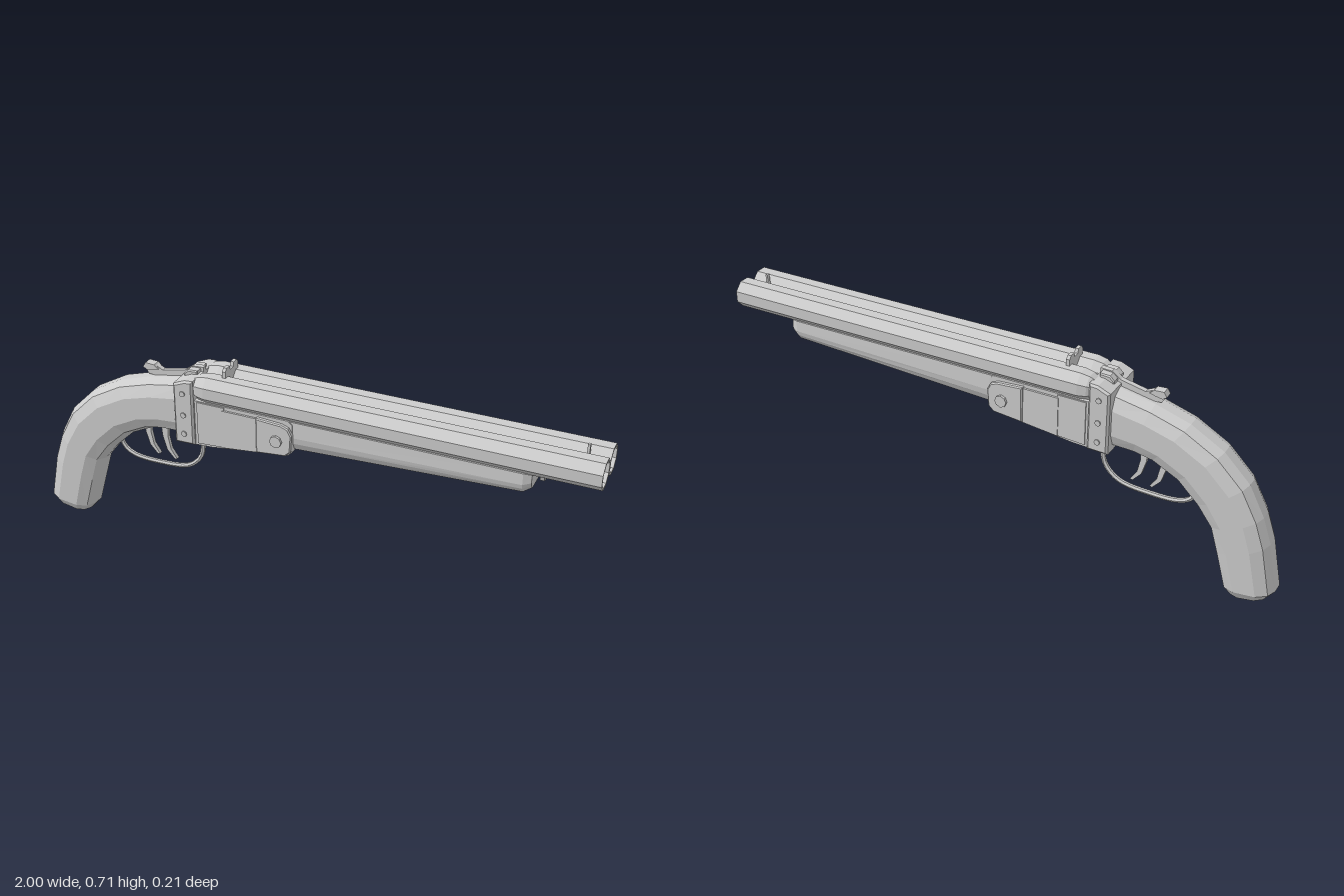
import * as THREE from 'three';

const mat = new THREE.MeshStandardMaterial({ color: 0xcccccc, flatShading: true, side: THREE.DoubleSide });

export function createModel() {
  const model = new THREE.Group();

  const add = (name, geo, x = 0, y = 0, z = 0) => {
    const mesh = new THREE.Mesh(geo, mat);
    mesh.name = name;
    mesh.position.set(x, y, z);
    model.add(mesh);
    return mesh;
  };

  // Side outline in x/y, extruded symmetrically to +-half in z
  const plate = (name, pts, half, z = 0, bevel = 0) => {
    const shape = new THREE.Shape(pts.map(p => new THREE.Vector2(...p)));
    const geo = new THREE.ExtrudeGeometry(shape, {
      depth: 2 * (half - bevel), bevelEnabled: bevel > 0, bevelSize: bevel,
      bevelOffset: -bevel, bevelThickness: bevel, bevelSegments: 1,
    });
    geo.translate(0, 0, bevel - half);
    return add(name, geo, 0, 0, z);
  };

  // Solid skin through equal-length rings, capped at both ends
  const loft = rings => {
    const pos = [], n = rings[0].length;
    const tri = (a, b, c) => pos.push(...a, ...b, ...c);
    for (let r = 0; r < rings.length - 1; r++) {
      const a = rings[r], b = rings[r + 1];
      for (let i = 0; i < n; i++) {
        const j = (i + 1) % n;
        tri(a[i], a[j], b[i]);
        tri(a[j], b[j], b[i]);
      }
    }
    const first = rings[0], last = rings[rings.length - 1];
    for (let i = 1; i < n - 1; i++) {
      tri(first[0], first[i + 1], first[i]);
      tri(last[0], last[i], last[i + 1]);
    }
    const geo = new THREE.BufferGeometry();
    geo.setAttribute('position', new THREE.Float32BufferAttribute(pos, 3));
    geo.computeVertexNormals();
    return geo;
  };
  // Half section [height, z] from top to bottom, mirrored into a closed ring
  const mirrored = half => [...half, ...half.map(([u, z]) => [u, -z]).reverse()];

  // Octagonal barrels: breech taper, outer wall, muzzle rim, bore and plug
  const barrelProfile = [
    [0, -0.372], [0.032, -0.372], [0.045, -0.35], [0.0508, -0.32], [0.0508, 1],
    [0.043, 1], [0.043, -0.28], [0, -0.28],
  ].map(p => new THREE.Vector2(...p));
  for (const s of [1, -1]) {
    const side = s > 0 ? 'right' : 'left';
    const barrel = new THREE.LatheGeometry(barrelProfile, 8, Math.PI / 8);
    barrel.rotateZ(-Math.PI / 2);
    add(side + 'Barrel', barrel, 0, 0.627, s * 0.0475);
    const pin = new THREE.CylinderGeometry(0.01, 0.01, 0.02, 8).rotateZ(Math.PI / 2);
    add(side + 'FiringPin', pin, -0.272, 0.627, s * 0.0475);
  }
  add('barrelRib', new THREE.BoxGeometry(1.3, 0.05, 0.01), 0.33, 0.623, 0);

  // Curved grip, each station: outer x, y, inner x, y, width scale
  const gripSection = mirrored([
    [1, 0.02], [0.92, 0.052], [0.72, 0.072], [0.3, 0.072], [0.1, 0.055], [0, 0.018],
  ]);
  const gripStations = [
    [-0.98, 0.022, -0.85, 0, 0.78], [-1, 0.05, -0.825, 0.03, 1],
    [-0.966, 0.22, -0.79, 0.15, 1], [-0.935, 0.31, -0.765, 0.235, 1],
    [-0.88, 0.415, -0.715, 0.3, 1], [-0.79, 0.505, -0.645, 0.368, 1],
    [-0.675, 0.57, -0.56, 0.41, 1], [-0.555, 0.607, -0.5, 0.42, 1],
    [-0.41, 0.635, -0.41, 0.42, 1],
  ];
  add('grip', loft(gripStations.map(([ox, oy, ix, iy, w]) =>
    gripSection.map(([u, z]) => [ix + (ox - ix) * u, iy + (oy - iy) * u, z * w]))));

  // Fore-end with chamfered belly and bevelled nose: x, top, bottom, width scale
  const foreSection = mirrored([[1, 0.078], [0.5, 0.08], [0.3, 0.076], [0.06, 0.062], [0, 0.05]]);
  add('foreEnd', loft([
    [-0.08, 0.585, 0.468, 1], [0, 0.585, 0.472, 1], [0.76, 0.585, 0.508, 1], [0.785, 0.58, 0.525, 0.85],
  ].map(([x, top, bot, w]) => foreSection.map(([u, z]) => [x, bot + (top - bot) * u, z * w]))));
  const nub = (r, len) => new THREE.CylinderGeometry(r, r, len, 8).rotateZ(Math.PI / 2);
  add('foreEndStem', nub(0.012, 0.03), 0.79, 0.552, 0);
  add('foreEndButton', nub(0.021, 0.014), 0.805, 0.552, 0);

  // Receiver body and stepped side panels
  plate('receiver', [[-0.38, 0.42], [-0.3, 0.424], [-0.02, 0.46], [-0.005, 0.475],
    [-0.005, 0.575], [-0.02, 0.588], [-0.38, 0.588]], 0.081);
  plate('rearPanel', [[-0.35, 0.43], [-0.25, 0.436], [-0.25, 0.585], [-0.35, 0.585]], 0.085);
  plate('middlePanel', [[-0.255, 0.436], [-0.125, 0.45], [-0.125, 0.575], [-0.255, 0.575]], 0.088);
  plate('hingePlate', [[-0.13, 0.452], [-0.025, 0.462], [-0.006, 0.48], [-0.002, 0.54],
    [-0.015, 0.565], [-0.04, 0.574], [-0.13, 0.58]], 0.095, 0, 0.004);

  // Standing breech block
  plate('breechBlock', [[-0.433, 0.42], [-0.36, 0.422], [-0.36, 0.66], [-0.39, 0.658],
    [-0.433, 0.64]], 0.093, 0, 0.007);
  for (const s of [1, -1]) {
    const bolt = (r, len) => new THREE.CylinderGeometry(r, r, len, 8).rotateX(Math.PI / 2);
    for (const y of [0.46, 0.53, 0.61]) add('breechScrew', bolt(0.01, 0.008), -0.397, y, s * 0.093);
    add('hingePin', bolt(0.021, 0.02), -0.056, 0.513, s * 0.094);
  }

  // Opening lever with thumb piece and pivot
  plate('topLever', [[-0.585, 0.635], [-0.578, 0.65], [-0.545, 0.648], [-0.515, 0.634],
    [-0.43, 0.652], [-0.4, 0.674], [-0.36, 0.676], [-0.36, 0.63], [-0.45, 0.605],
    [-0.53, 0.608], [-0.57, 0.61]], 0.009);
  plate('leverThumbPiece', [[-0.588, 0.636], [-0.578, 0.652], [-0.545, 0.65], [-0.53, 0.636],
    [-0.55, 0.63], [-0.575, 0.626]], 0.015);
  plate('leverPivot', [[-0.42, 0.63], [-0.42, 0.655], [-0.405, 0.67], [-0.37, 0.672],
    [-0.37, 0.63]], 0.036, 0, 0.004);

  // Notched rear sight, facing along the barrels
  const sight = new THREE.Shape([
    [-0.046, 0.65], [0.046, 0.65], [0.046, 0.696], [0.037, 0.707], [0.015, 0.707], [0.011, 0.692],
    [-0.011, 0.692], [-0.015, 0.707], [-0.037, 0.707], [-0.046, 0.696],
  ].map(p => new THREE.Vector2(...p)));
  const sightGeo = new THREE.ExtrudeGeometry(sight, { depth: 0.012, bevelEnabled: false });
  sightGeo.rotateY(Math.PI / 2);
  add('rearSight', sightGeo, -0.271, 0, 0);
  add('frontSight', new THREE.BoxGeometry(0.008, 0.06, 0.012), 0.932, 0.66, 0);

  // Trigger guard loop
  const guardPath = new THREE.CatmullRomCurve3([
    [-0.39, 0.425], [-0.378, 0.37], [-0.39, 0.32], [-0.44, 0.276], [-0.55, 0.262],
    [-0.65, 0.268], [-0.69, 0.29], [-0.705, 0.32],
  ].map(([x, y]) => new THREE.Vector3(x, y, 0)));
  add('triggerGuard', new THREE.TubeGeometry(guardPath, 24, 0.0085, 6));

  // Two curved triggers
  for (const [name, dx, z] of [['frontTrigger', 0, 0.004], ['rearTrigger', -0.072, -0.004]]) {
    plate(name, [[-0.535, 0.43], [-0.505, 0.43], [-0.51, 0.38], [-0.5, 0.33], [-0.478, 0.297],
      [-0.486, 0.293], [-0.515, 0.325], [-0.53, 0.375]], 0.007, z).position.x = dx;
  }

  return model;
}
